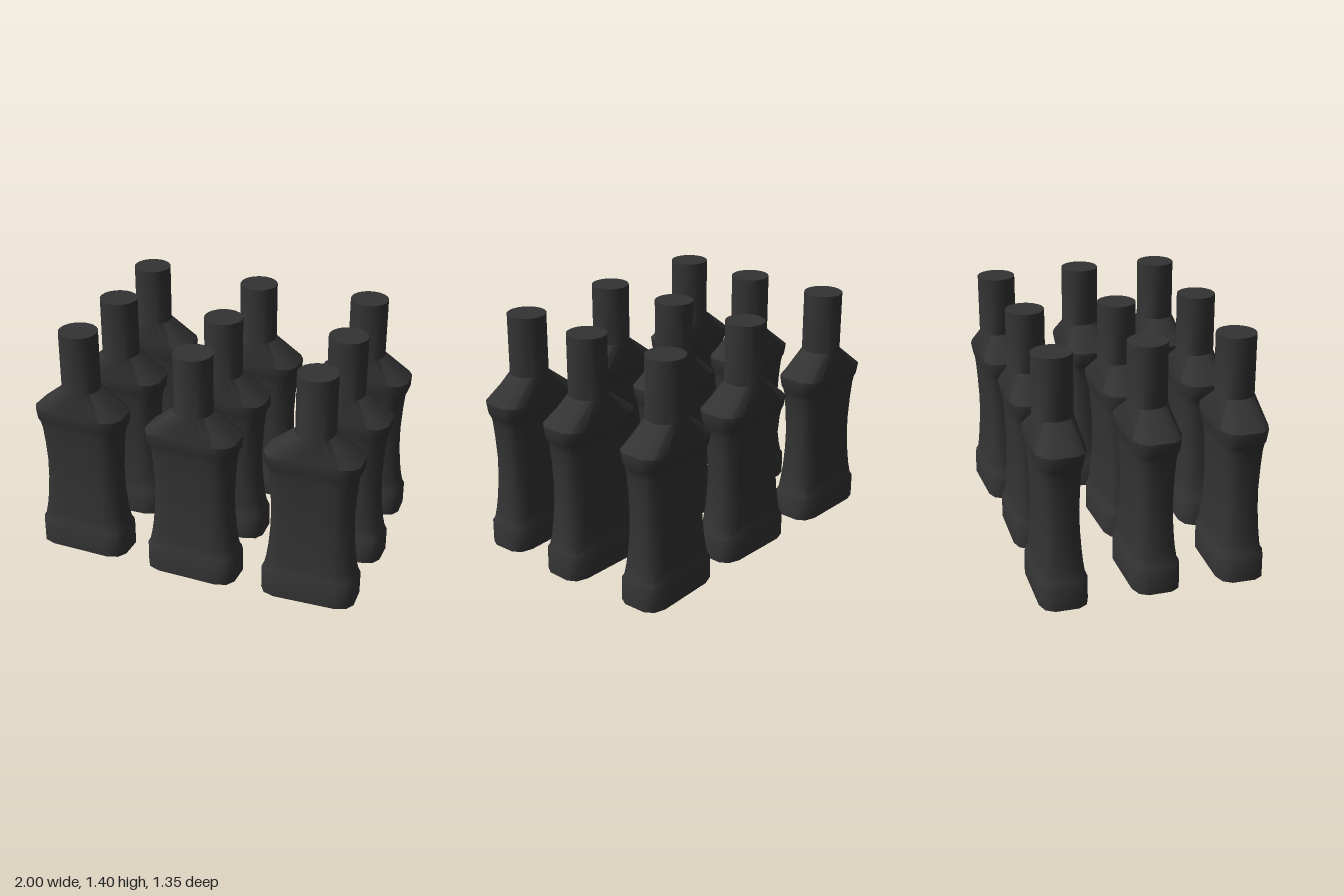
import * as THREE from 'three';
import { toCreasedNormals } from 'three/addons/utils/BufferGeometryUtils.js';

const SIDES = 20;
const NECK_RADIUS = 0.113;

// Height, half width, half depth, roundness (0 = chamfered oblong, 1 = circle)
const RINGS = [
  [0, 0.276, 0.139, 0],
  [0.142, 0.276, 0.138, 0],
  [0.163, 0.264, 0.126, 0],
  [0.22, 0.252, 0.119, 0],
  [0.3, 0.241, 0.112, 0],
  [0.42, 0.232, 0.105, 0],
  [0.54, 0.23, 0.103, 0],
  [0.68, 0.237, 0.109, 0],
  [0.78, 0.246, 0.115, 0],
  [0.82, 0.257, 0.119, 0],
  [0.842, 0.271, 0.125, 0],
  [0.91, 0.274, 0.138, 0],
  [1.045, NECK_RADIUS, NECK_RADIUS, 1],
  [1.4, NECK_RADIUS, NECK_RADIUS, 1],
];

// Quarter of the oblong section, as fractions of half width and half depth
const QUARTER = [[1, 0], [1, 0.48], [0.89, 0.84], [0.65, 1], [0.32, 1], [0, 1]];

// Unit section point, mirrored from the quarter into all four quadrants
function oblong(i) {
  const quadrant = Math.floor(i / 5), k = i % 5;
  const [x, z] = QUARTER[quadrant % 2 ? 5 - k : k];
  return [quadrant === 1 || quadrant === 2 ? -x : x, quadrant >= 2 ? -z : z];
}

// Loft through the rings, closed at the base and at the top of the neck
function bottleGeometry() {
  const positions = [], index = [];
  for (const [y, w, d, round] of RINGS) {
    for (let i = 0; i < SIDES; i++) {
      const a = (i / SIDES) * Math.PI * 2;
      const [x, z] = round ? [Math.cos(a), Math.sin(a)] : oblong(i);
      positions.push(x * w, y, z * d);
    }
  }
  const last = (RINGS.length - 1) * SIDES;
  const bottom = last + SIDES, top = bottom + 1;
  positions.push(0, 0, 0, 0, RINGS[RINGS.length - 1][0], 0);

  for (let i = 0; i < SIDES; i++) {
    const n = (i + 1) % SIDES;
    for (let r = 0; r < last; r += SIDES) {
      const a = r + i, b = r + n, c = a + SIDES, d = b + SIDES;
      index.push(a, c, b, b, c, d);
    }
    index.push(bottom, i, n, top, last + n, last + i);
  }
  const geometry = new THREE.BufferGeometry();
  geometry.setAttribute('position', new THREE.Float32BufferAttribute(positions, 3));
  geometry.setIndex(index);
  return toCreasedNormals(geometry, 0.75);
}

// Slightly uneven rows: x, z, turn
const PLACES = [
  [-0.725, -0.537, -0.02], [-0.003, -0.509, -0.03], [0.689, -0.525, 0.03],
  [-0.707, -0.003, 0.008], [-0.024, 0.033, 0.03], [0.72, 0.018, -0.02],
  [-0.72, 0.501, -0.03], [-0.01, 0.531, -0.03], [0.698, 0.515, 0.03],
];

export function createModel() {
  const group = new THREE.Group();
  group.name = 'bottles';
  const geometry = bottleGeometry();
  const material = new THREE.MeshStandardMaterial({ color: 0x333333 });
  PLACES.forEach(([x, z, turn], i) => {
    const bottle = new THREE.Mesh(geometry, material);
    bottle.name = `bottle${i + 1}`;
    bottle.position.set(x, 0, z);
    bottle.rotation.y = turn;
    group.add(bottle);
  });
  return group;
}
